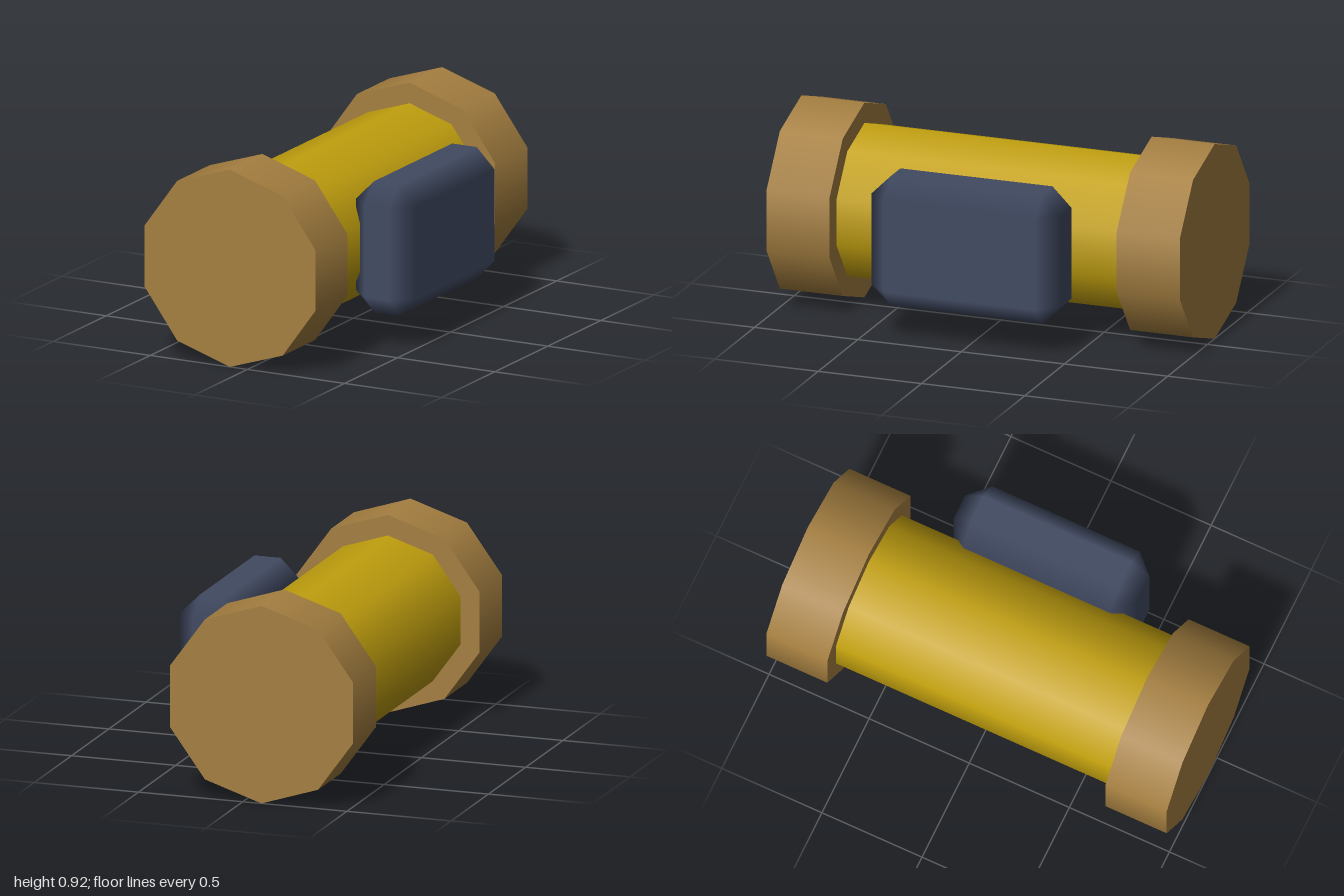
import * as THREE from 'three';
import { ConvexGeometry } from 'three/addons/geometries/ConvexGeometry.js';

const material = (color) => new THREE.MeshStandardMaterial({ color });

// Ten-sided cylinder lying along z
function barrel(name, radius, length, z, mat) {
  const geometry = new THREE.CylinderGeometry(radius, radius, length, 10);
  geometry.rotateX(Math.PI / 2);
  const mesh = new THREE.Mesh(geometry, mat);
  mesh.name = name;
  mesh.position.set(-0.09, 0.462, z);
  return mesh;
}

// Box with one chamfer on every edge; flat faces, shading blended over the chamfers
function chamferBox(width, height, depth, bevel) {
  const half = [width / 2, height / 2, depth / 2];
  const points = [];
  for (let axis = 0; axis < 3; axis++) {
    for (const sx of [-1, 1]) for (const sy of [-1, 1]) for (const sz of [-1, 1]) {
      const p = [sx, sy, sz].map((s, i) => s * (half[i] - (i === axis ? 0 : bevel)));
      points.push(new THREE.Vector3(...p));
    }
  }
  const geometry = new ConvexGeometry(points);
  const { position, normal } = geometry.attributes;
  for (let i = 0; i < position.count; i++) {
    const p = [position.getX(i), position.getY(i), position.getZ(i)];
    normal.setXYZ(i, ...p.map((v, a) => (Math.abs(v) > half[a] - bevel / 2 ? Math.sign(v) : 0)));
  }
  return geometry;
}

export function createModel() {
  const group = new THREE.Group();
  const capMaterial = material(0xa57f40);

  // Main tube and its two wide end caps
  group.add(barrel('tube', 0.366, 1.5, 0, material(0xc2a00e)));
  group.add(barrel('frontCap', 0.462, 0.305, 0.8475, capMaterial));
  group.add(barrel('backCap', 0.462, 0.305, -0.8475, capMaterial));

  // Bevelled block on the side of the tube
  const block = new THREE.Mesh(chamferBox(0.31, 0.614, 0.92, 0.092), material(0x414a62));
  block.name = 'sideBlock';
  block.position.set(0.37, 0.463, 0);
  group.add(block);

  return group;
}
